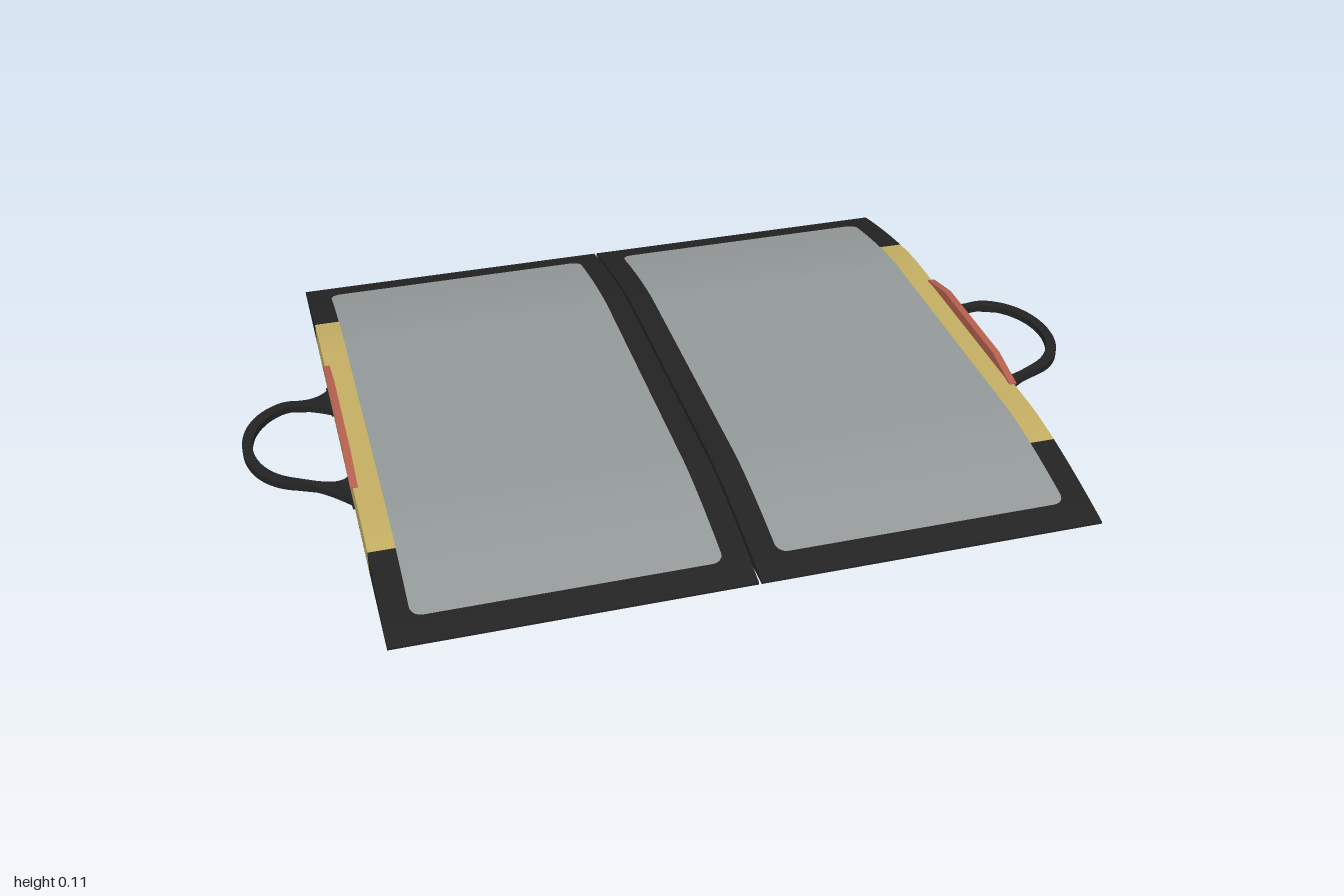
import * as THREE from 'three';
import { toCreasedNormals } from 'three/addons/utils/BufferGeometryUtils.js';

const mat = (name, color) => {
  const m = new THREE.MeshStandardMaterial({ color });
  m.name = name;
  return m;
};

const BOTTOM = 0.015, HALF_LENGTH = 0.73, OUTER = 0.78, EDGE = 0.72, GOLD_END = 0.475;

// Height of the padded top, falling away toward both ends
function topY(z) {
  const t = Math.max(0, (Math.abs(z) - 0.35) / 0.38);
  return 0.08 - 0.06 * Math.pow(t, 1.5);
}

// Extrudes a side outline of [z, y] points from x0 to x1
function sideExtrude(points, x0, x1) {
  const shape = new THREE.Shape(points.map(([z, y]) => new THREE.Vector2(-z, y)));
  const g = new THREE.ExtrudeGeometry(shape, { depth: x1 - x0, bevelEnabled: false });
  g.rotateY(Math.PI / 2).translate(x0, 0, 0);
  return toCreasedNormals(g, 0.5);
}

// Solid slice of the body following the padded profile
function slab(z0, z1, x0, x1, base = BOTTOM) {
  const pts = [[z0, base], [z1, base]];
  const n = 32;
  for (let i = 0; i <= n; i++) {
    const z = z1 + (z0 - z1) * i / n;
    pts.push([z, topY(z)]);
  }
  return sideExtrude(pts, x0, x1);
}

// Thin panel with rounded corners, draped on the top or laid on the underside
function panel(up) {
  const hw = 0.331, hl = 0.665, r = 0.025, cx = 0.39;
  const g = new THREE.PlaneGeometry(2, 2, 2, 80);
  g.rotateX(up ? -Math.PI / 2 : Math.PI / 2);
  const p = g.attributes.position;
  for (let i = 0; i < p.count; i++) {
    const z = hl * Math.sin(p.getZ(i) * Math.PI / 2);
    const d = Math.max(0, Math.abs(z) - (hl - r));
    const w = hw - r + Math.sqrt(Math.max(0, r * r - d * d));
    p.setXYZ(i, cx + p.getX(i) * w, up ? topY(z) + 0.002 : BOTTOM - 0.002, z);
  }
  g.computeVertexNormals();
  return g;
}

// Flat loop handle flaring into its two anchors and dipping under the body
function handleLoop() {
  const s = new THREE.Shape();
  s.moveTo(0.77, 0.245);
  s.quadraticCurveTo(0.81, 0.19, 0.86, 0.178);
  s.bezierCurveTo(0.95, 0.17, 1, 0.09, 1, 0);
  s.bezierCurveTo(1, -0.09, 0.95, -0.17, 0.86, -0.178);
  s.quadraticCurveTo(0.81, -0.19, 0.77, -0.245);
  s.lineTo(0.77, -0.13);
  s.quadraticCurveTo(0.79, -0.155, 0.83, -0.157);
  s.bezierCurveTo(0.925, -0.157, 0.977, -0.08, 0.977, 0);
  s.bezierCurveTo(0.977, 0.08, 0.925, 0.157, 0.83, 0.157);
  s.quadraticCurveTo(0.79, 0.155, 0.77, 0.13);
  const g = new THREE.ExtrudeGeometry(s, { depth: 0.016, bevelEnabled: false, curveSegments: 16 });
  g.rotateX(Math.PI / 2).translate(0, 0.038, 0);
  const p = g.attributes.position;
  for (let i = 0; i < p.count; i++) {
    const drop = 0.022 * THREE.MathUtils.smoothstep(0.9 - p.getX(i), 0, 0.12);
    p.setY(i, p.getY(i) - drop);
  }
  return toCreasedNormals(g, 0.6);
}

export function createModel() {
  const black = mat('black fabric', 0x232323);
  const grey = mat('grey panel', 0x949999);
  const gold = mat('gold side', 0xc4ae63);
  const red = mat('red trim', 0xb5604f);

  const model = new THREE.Group();
  model.name = 'foldingCase';

  // The two halves are the same part turned about the centre fold
  for (const side of [1, -1]) {
    const half = new THREE.Group();
    half.name = side > 0 ? 'leftHalf' : 'rightHalf';
    half.rotation.y = side > 0 ? 0 : Math.PI;
    model.add(half);
    const add = (name, geometry, material, parent = half) => {
      const mesh = new THREE.Mesh(geometry, material);
      mesh.name = name;
      parent.add(mesh);
      return mesh;
    };

    // Body and its panels
    add('body', slab(-HALF_LENGTH, HALF_LENGTH, 0.003, EDGE), black);
    add('topPanel', panel(true), grey);
    add('bottomPanel', panel(false), grey);

    // Outer edge: gold in the middle, black at both ends
    add('goldEdge', slab(-GOLD_END, GOLD_END, EDGE, OUTER, BOTTOM + 0.002), gold);
    add('edgeEnd', slab(-HALF_LENGTH, -GOLD_END, EDGE, OUTER), black);
    add('edgeEnd', slab(GOLD_END, HALF_LENGTH, EDGE, OUTER), black);
    const under = add('edgeUnderside', new THREE.BoxGeometry(OUTER - EDGE, 0.002, 2 * GOLD_END), black);
    under.position.set((EDGE + OUTER) / 2, BOTTOM + 0.001, 0);

    // Raised flap with a red lining and a red rim along its top
    const flap = [[-0.25, 0.078], [0.25, 0.078], [0.15, 0.1], [-0.15, 0.1]];
    add('flapLining', sideExtrude(flap, 0.771, 0.776), red);
    add('flap', sideExtrude(flap, 0.776, 0.781), gold);
    const rim = [[-0.255, 0.077], [-0.15, 0.099], [0.15, 0.099], [0.255, 0.077],
      [0.255, 0.082], [0.15, 0.106], [-0.15, 0.106], [-0.255, 0.082]];
    add('flapRim', sideExtrude(rim, 0.769, 0.786), red);

    // Handle with its two sewn tabs under the body
    const handle = new THREE.Group();
    handle.name = 'handle';
    handle.position.z = -0.02 * side;
    half.add(handle);
    add('handleLoop', handleLoop(), black, handle);
    for (const end of [1, -1]) {
      const tab = add('handleTab', new THREE.BoxGeometry(0.09, 0.012, 0.11), black, handle);
      tab.position.set(0.738, 0.007, 0.19 * end);
    }
  }
  return model;
}
